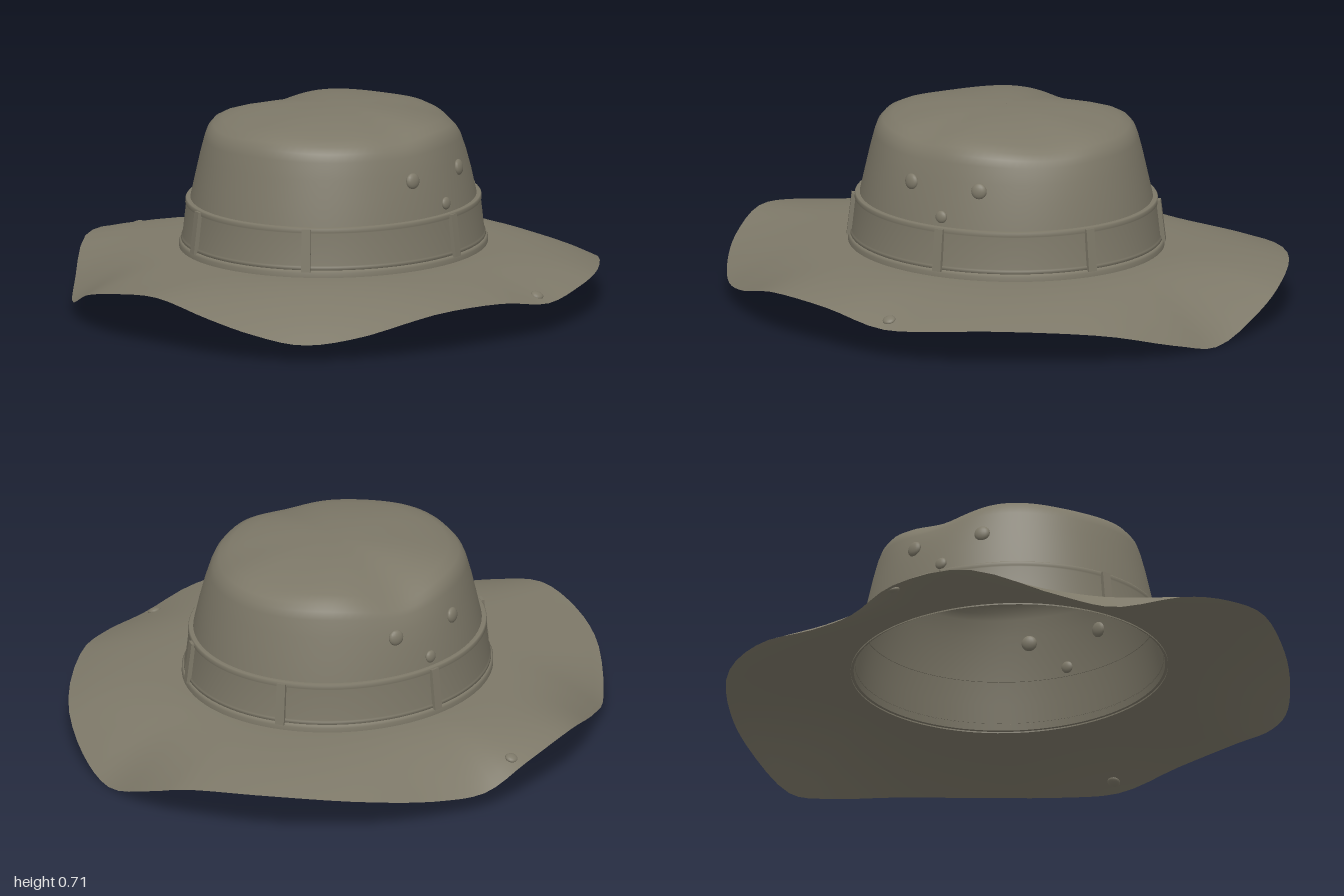
import * as THREE from 'three';

const SEG = 96;
const OVAL = 1.07;   // crown is slightly longer front to back
const BACK = -0.012; // crown sits slightly towards the back

// Smooth ring-shaped surface; rows run from the centre or top outward and down
function ringSurface(rows, pointAt) {
  const pos = [], index = [];
  for (let i = 0; i < rows; i++) {
    for (let j = 0; j < SEG; j++) pos.push(...pointAt(i, j));
  }
  for (let i = 0; i < rows - 1; i++) {
    for (let j = 0; j < SEG; j++) {
      const k = (j + 1) % SEG;
      const a = i * SEG + j, b = a + SEG, c = i * SEG + k, d = c + SEG;
      index.push(a, b, c, b, d, c);
    }
  }
  const geo = new THREE.BufferGeometry();
  geo.setAttribute('position', new THREE.Float32BufferAttribute(pos, 3));
  geo.setIndex(index);
  geo.computeVertexNormals();
  return geo;
}

const oval = (r, y, a) => [r * Math.sin(a), y, r * OVAL * Math.cos(a) + BACK];
const angle = (j) => (j / SEG) * Math.PI * 2;
const bump = (a, centre, width) => {
  const d = Math.atan2(Math.sin(a - centre), Math.cos(a - centre));
  return Math.exp(-((d / width) ** 2));
};

export function createModel() {
  const hat = new THREE.Group();
  hat.name = 'hat';
  const cloth = new THREE.MeshStandardMaterial({ color: 0x7d7868, side: THREE.DoubleSide });
  cloth.name = 'olive grey cloth';
  const add = (name, geo) => {
    const mesh = new THREE.Mesh(geo, cloth);
    mesh.name = name;
    hat.add(mesh);
    return mesh;
  };

  // Crown: radius, height, and how strongly the soft shoulder is dented
  const crown = [
    [0.001, 0.708, 0], [0.08, 0.708, 0], [0.16, 0.704, 0.1], [0.24, 0.696, 0.3], [0.32, 0.682, 0.6],
    [0.375, 0.668, 0.9], [0.41, 0.65, 1], [0.428, 0.628, 0.9], [0.438, 0.6, 0.6], [0.453, 0.54, 0.25],
    [0.468, 0.47, 0], [0.485, 0.39, 0], [0.5, 0.3, 0], [0.515, 0.21, 0],
  ];
  add('crown', ringSurface(crown.length, (i, j) => {
    const [r, y, soft] = crown[i];
    const a = angle(j);
    const dent = 0.03 * bump(a, -1.75, 0.35) + 0.025 * bump(a, 2.5, 0.4) + 0.02 * bump(a, 1.3, 0.3);
    const wave = 0.006 * Math.sin(a) + 0.005 * Math.sin(5 * a + 1);
    return oval(r - soft * dent * 0.4, y + soft * (wave - dent), a);
  }));

  // Brim: wavy edge, going round from the front by the left side
  const edge = new THREE.CatmullRomCurve3([
    [0, 0.195, 0.99], [0.2, 0.145, 0.965], [0.35, 0.1, 0.91], [0.5, 0.066, 0.82], [0.64, 0.085, 0.685],
    [0.82, 0.155, 0.45], [0.9, 0.155, 0.185], [0.918, 0.115, -0.05], [0.885, 0.13, -0.27],
    [0.82, 0.14, -0.45], [0.585, 0.11, -0.755], [0.35, 0.04, -0.91], [0.17, 0.002, -0.967],
    [-0.07, 0.08, -1], [-0.23, 0.135, -0.985], [-0.5, 0.16, -0.86], [-0.73, 0.13, -0.61],
    [-0.84, 0.08, -0.34], [-0.895, 0.075, -0.17], [-0.92, 0.14, 0], [-0.875, 0.165, 0.265],
    [-0.71, 0.075, 0.545], [-0.6, 0.042, 0.7], [-0.39, 0.13, 0.88], [-0.2, 0.175, 0.96],
  ].map((p) => new THREE.Vector3(...p)), true);
  const brimRows = 13;
  const edgePoints = Array.from({ length: SEG }, (_, j) => edge.getPoint(j / SEG));
  add('brim', ringSurface(brimRows, (i, j) => {
    const e = edgePoints[j];
    const t = i / (brimRows - 1);
    const [x, y, z] = oval(0.515, 0.21, Math.atan2(e.x, e.z));
    return [x + (e.x - x) * t, y + (e.y - y) * t ** 2.1, z + (e.z - z) * t];
  }));

  // Hat band with a folded hem, and the piping below it
  const band = [
    [0.484, 0.382], [0.5, 0.382], [0.503, 0.378], [0.504, 0.366], [0.501, 0.362],
    [0.513, 0.25], [0.517, 0.246], [0.518, 0.236], [0.51, 0.232],
  ];
  const piping = [[0.51, 0.235], [0.52, 0.233], [0.525, 0.225], [0.525, 0.205]];
  for (const [name, rows] of [['hatBand', band], ['basePiping', piping]]) {
    add(name, ringSurface(rows.length, (i, j) => oval(rows[i][0], rows[i][1], angle(j))));
  }

  // Places a part on the crown wall, facing outward
  const onWall = (mesh, r, y, a) => {
    mesh.position.set(...oval(r, y, a));
    mesh.rotation.order = 'YXZ';
    mesh.rotation.y = Math.atan2(Math.sin(a), Math.cos(a) / OVAL);
    mesh.rotation.x = -0.12;
  };

  // Band loops
  const loop = new THREE.BoxGeometry(0.032, 0.15, 0.018);
  for (const a of [-0.445, 0.51, 1.62, 2.65, -2.7, -1.62]) {
    onWall(add('bandLoop', loop), 0.513, 0.303, a);
  }

  // Vent eyelets and small studs on both sides
  const dome = new THREE.SphereGeometry(1, 18, 10);
  for (const side of [1, -1]) {
    for (const [name, a, y, r, size] of [
      ['ventEyelet', 1.32, 0.515, 0.459, 0.028],
      ['ventEyelet', 1.875, 0.515, 0.459, 0.028],
      ['sideStud', 1.61, 0.415, 0.482, 0.022],
    ]) {
      const stud = add(name, dome);
      stud.scale.set(size, size, size * 0.5);
      onWall(stud, r, y, a * side);
    }
  }

  // Brim snaps
  for (const [x, y, z, tilt] of [[0.87, 0.138, -0.05, -0.4], [-0.87, 0.15, -0.02, 0.3]]) {
    const snap = add('brimSnap', dome);
    snap.scale.set(0.023, 0.011, 0.023);
    snap.position.set(x, y, z);
    snap.rotation.z = tilt;
  }
  return hat;
}
